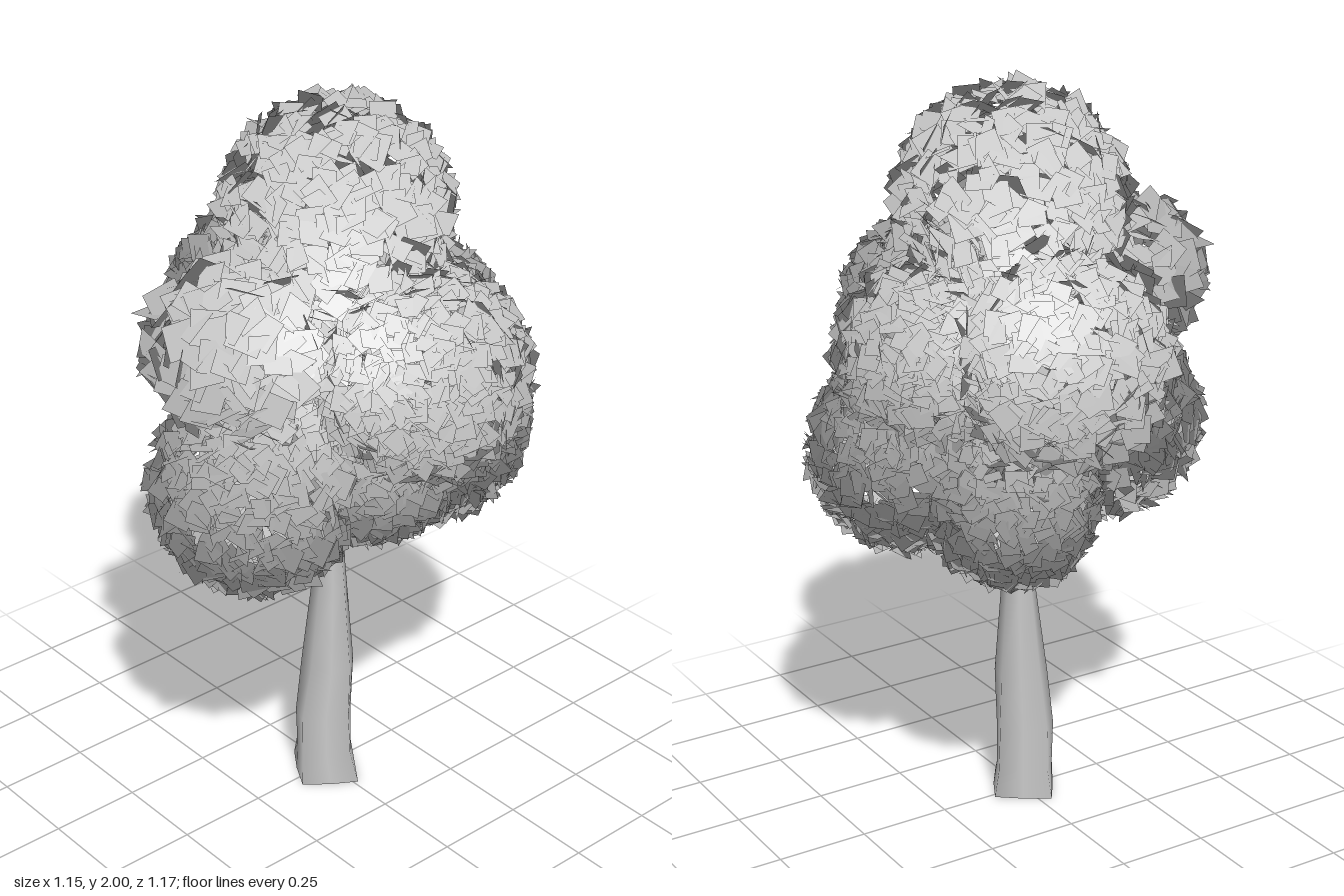
import * as THREE from 'three';

// Seeded random numbers so the leaves fall the same way every time
function makeRandom(seed) {
  let s = seed;
  return () => {
    s = (s * 1664525 + 1013904223) % 4294967296;
    return s / 4294967296;
  };
}

const crownCentre = new THREE.Vector3(0.02, 1.2, 0);

// A ball-shaped cluster of square leaf cards, tilted freely around the sphere.
// Normals point away from the middle of the crown, so the clusters shade as one mass.
function leafCluster(centre, radius, count, size, random) {
  const positions = [], normals = [], index = [];
  const plusZ = new THREE.Vector3(0, 0, 1);
  const card = new THREE.Object3D();
  const golden = Math.PI * (3 - Math.sqrt(5));
  const jitter = (amount) => (random() - 0.5) * 2 * amount;
  for (let i = 0; i < count; i++) {
    const y = 1 - (2 * (i + 0.5)) / count;
    const ring = Math.sqrt(1 - y * y);
    const angle = i * golden;
    const dir = new THREE.Vector3(Math.cos(angle) * ring, y, Math.sin(angle) * ring);
    dir.add(new THREE.Vector3(jitter(0.08), jitter(0.08), jitter(0.08))).normalize();

    card.position.copy(dir).multiplyScalar(radius + jitter(0.008));
    card.quaternion.setFromUnitVectors(plusZ, dir);
    card.rotateZ(random() * Math.PI * 2);
    card.rotateX(jitter(0.9));
    card.rotateY(jitter(0.9));
    card.updateMatrix();

    const half = (size / 2) * (0.85 + random() * 0.3);
    const outward = card.position.clone().add(centre).sub(crownCentre).normalize();
    const normal = outward.addScaledVector(dir, 0.3).normalize();
    const first = positions.length / 3;
    for (const [u, v] of [[-1, -1], [1, -1], [1, 1], [-1, 1]]) {
      const p = new THREE.Vector3(u * half, v * half, 0).applyMatrix4(card.matrix);
      positions.push(p.x, p.y, p.z);
      normals.push(normal.x, normal.y, normal.z);
    }
    index.push(first, first + 1, first + 2, first, first + 2, first + 3);
  }
  const geometry = new THREE.BufferGeometry();
  geometry.setAttribute('position', new THREE.Float32BufferAttribute(positions, 3));
  geometry.setAttribute('normal', new THREE.Float32BufferAttribute(normals, 3));
  geometry.setIndex(index);
  return geometry;
}

// Open trunk lofted through rings, squarish at the foot and round higher up:
// [y, centre x, centre z, radius x, radius z, scale of the in-between corners]
function trunkGeometry() {
  const rings = [
    [0, -0.01, 0.01, 0.108, 0.116, 0.75],
    [0.08, -0.008, 0, 0.096, 0.092, 0.8],
    [0.2, -0.008, -0.003, 0.093, 0.087, 0.85],
    [0.36, 0.002, 0.002, 0.074, 0.079, 0.95],
    [0.6, 0.012, -0.002, 0.045, 0.054, 1],
    [0.82, 0.002, 0.006, 0.033, 0.037, 1],
    [1.1, 0.01, 0, 0.022, 0.022, 1],
  ];
  const sides = 8;
  const geometry = new THREE.CylinderGeometry(1, 1, 1, sides, rings.length - 1, true, 0.2);
  const pos = geometry.attributes.position;
  for (let i = 0; i < pos.count; i++) {
    const row = Math.round((pos.getY(i) + 0.5) * (rings.length - 1));
    const [y, cx, cz, rx, rz, between] = rings[row];
    const k = (i % (sides + 1)) % 2 === 1 ? between : 1;
    pos.setXYZ(i, cx + pos.getX(i) * rx * k, y, cz + pos.getZ(i) * rz * k);
  }
  return geometry;
}

export function createModel() {
  const model = new THREE.Group();
  model.name = 'tree';
  const material = new THREE.MeshStandardMaterial({ color: 0xcccccc, side: THREE.DoubleSide });
  const random = makeRandom(7);

  const trunk = new THREE.Mesh(trunkGeometry(), material);
  trunk.name = 'trunk';
  model.add(trunk);

  // Crown clusters: name, centre, radius, number of leaves, leaf size
  const clusters = [
    ['topLeaves', [0.03, 1.68, 0.0], 0.28, 600, 0.068],
    ['frontLeaves', [0.07, 1.325, 0.285], 0.262, 950, 0.056],
    ['backLeaves', [0.06, 1.335, -0.29], 0.262, 650, 0.062],
    ['upperLeftLeaves', [0.27, 1.3, 0.0], 0.24, 800, 0.055],
    ['upperRightLeaves', [-0.33, 1.43, 0.03], 0.2, 190, 0.085],
    ['lowerLeftLeaves', [0.285, 1.04, 0.08], 0.258, 950, 0.055],
    ['lowerRightLeaves', [-0.28, 1.03, 0.05], 0.26, 750, 0.06],
    ['lowerFrontLeaves', [0.02, 1.06, 0.16], 0.218, 650, 0.055],
    ['lowerBackLeaves', [0.14, 0.945, -0.18], 0.213, 650, 0.053],
  ];
  const crown = new THREE.Group();
  crown.name = 'crown';
  for (const [name, position, radius, count, size] of clusters) {
    const centre = new THREE.Vector3(...position);
    const mesh = new THREE.Mesh(leafCluster(centre, radius, count, size, random), material);
    mesh.name = name;
    mesh.position.copy(centre);
    crown.add(mesh);
  }
  model.add(crown);
  return model;
}
